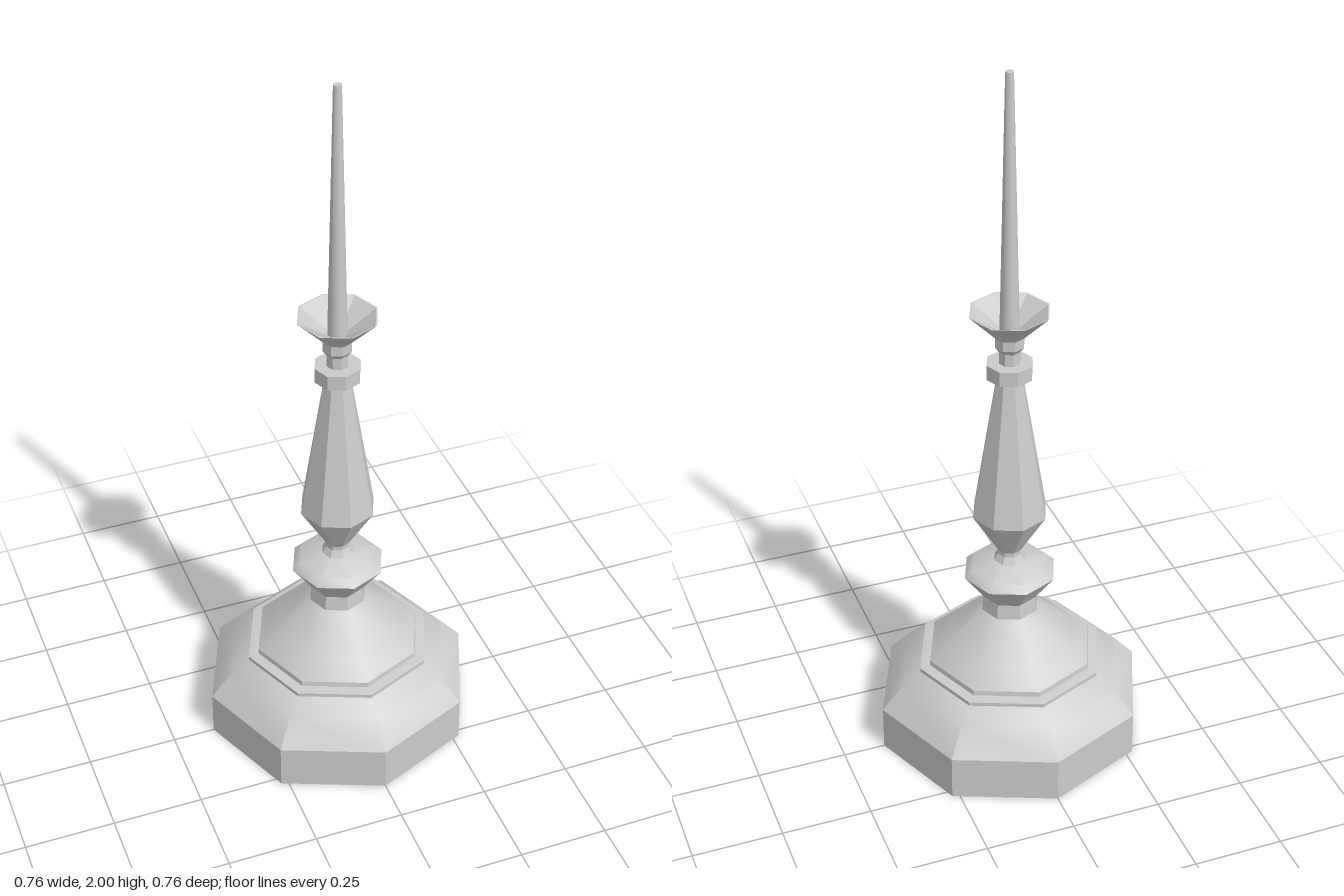
import * as THREE from 'three';
import { toCreasedNormals } from 'three/addons/utils/BufferGeometryUtils.js';

export function createModel() {
  const model = new THREE.Group();
  const smooth = new THREE.MeshStandardMaterial({ color: 0xcccccc });
  const flat = new THREE.MeshStandardMaterial({ color: 0xcccccc, flatShading: true });

  // Turns a [radius, height] profile, listed from bottom to top, about y
  function turned(name, profile, material = smooth, sides = 8) {
    const points = profile.map(([r, y]) => new THREE.Vector2(r, y));
    const geometry = toCreasedNormals(new THREE.LatheGeometry(points, sides), 0.6);
    const mesh = new THREE.Mesh(geometry, material);
    mesh.name = name;
    model.add(mesh);
  }

  // Heavy octagonal foot with a sloped shoulder
  turned('base', [[0, 0], [0.382, 0], [0.382, 0.13], [0.322, 0.198], [0.268, 0.236],
    [0.268, 0.247], [0.238, 0.252], [0, 0.252]]);

  // Sloping skirt, waisted neck and lower knob
  turned('skirt', [[0.24, 0.25], [0.238, 0.266], [0.19, 0.305], [0.082, 0.405], [0.078, 0.45],
    [0.132, 0.525], [0.112, 0.545], [0.045, 0.565], [0.034, 0.585], [0, 0.585]]);

  // Faceted stem, widest near its foot
  turned('stem', [[0, 0.57], [0.034, 0.575], [0.034, 0.598], [0.106, 0.72], [0.036, 1.15],
    [0, 1.15]], flat);

  // Ring around the top of the stem
  turned('collar', [[0, 1.147], [0.064, 1.147], [0.064, 1.19], [0, 1.19]], flat);

  // Short stepped neck below the cup
  turned('cupNeck', [[0.03, 1.185], [0.03, 1.225], [0.041, 1.24], [0.041, 1.272],
    [0, 1.272]], flat);

  // Flared cup with a thin rim, open at the top
  turned('cup', [[0, 1.268], [0.043, 1.27], [0.111, 1.34], [0.107, 1.34], [0.025, 1.285],
    [0, 1.285]], flat);

  // Tall tapering spike
  turned('spike', [[0, 1.275], [0.027, 1.275], [0.011, 2], [0, 2]], smooth, 12);

  return model;
}
